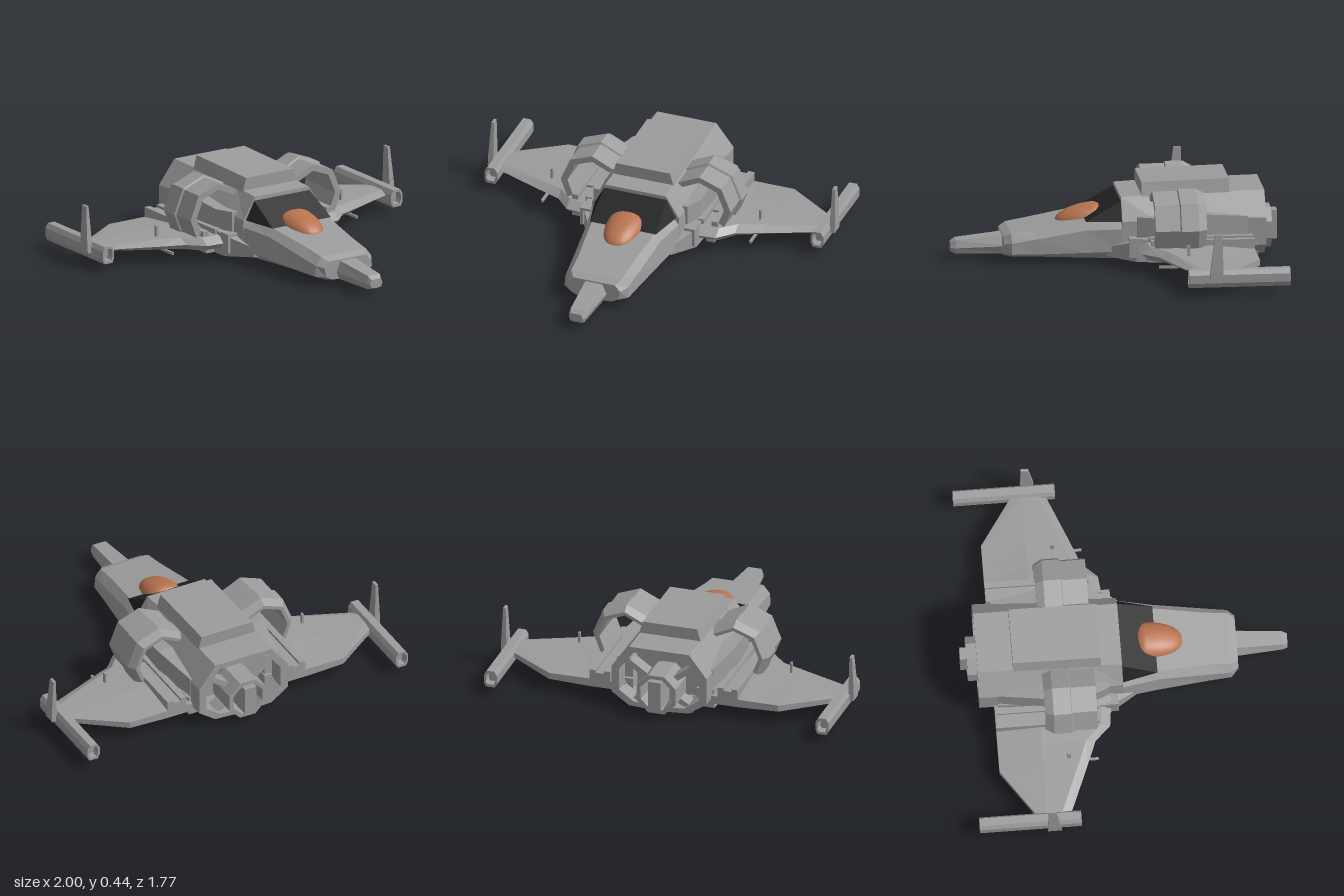
import * as THREE from 'three';

const grey = new THREE.MeshStandardMaterial({ color: 0x9c9c9c, flatShading: true, side: THREE.DoubleSide });
grey.name = 'hull grey';
const black = new THREE.MeshStandardMaterial({ color: 0x222222, flatShading: true, side: THREE.DoubleSide });
black.name = 'window black';
const orange = new THREE.MeshStandardMaterial({ color: 0xb8734f });
orange.name = 'canopy orange';

// Closed solid through rings of [x, y, z] points; faces are turned outward by signed volume.
function loft(rings, sx = 1) {
  const R = rings.map(r => r.map(p => new THREE.Vector3(p[0] * sx, p[1], p[2])));
  const tris = [], n = R[0].length;
  for (let k = 0; k < R.length - 1; k++)
    for (let i = 0; i < n; i++) {
      const j = (i + 1) % n, a = R[k], b = R[k + 1];
      tris.push([a[i], b[i], a[j]], [a[j], b[i], b[j]]);
    }
  [[R[0], false], [R[R.length - 1], true]].forEach(([r, back]) => {
    const c = r.reduce((s, p) => s.add(p), new THREE.Vector3()).divideScalar(n);
    for (let i = 0; i < n; i++) {
      const p = r[i], q = r[(i + 1) % n];
      tris.push(back ? [c, q, p] : [c, p, q]);
    }
  });
  const volume = tris.reduce((s, [a, b, c]) => s + a.dot(b.clone().cross(c)), 0);
  const flat = [];
  tris.forEach(([a, b, c]) => (volume < 0 ? [a, c, b] : [a, b, c]).forEach(p => flat.push(p.x, p.y, p.z)));
  const g = new THREE.BufferGeometry();
  g.setAttribute('position', new THREE.Float32BufferAttribute(flat, 3));
  g.computeVertexNormals();
  return g;
}

// Right half of a cross-section, bottom to top, mirrored into a full ring.
function section(z, ...half) {
  const left = half.filter(p => p[0] > 0).reverse().map(([x, y]) => [-x, y]);
  return [...half, ...left].map(([x, y]) => [x, y, z]);
}

function inset(ring, s, cx, cy, z) {
  return ring.map(p => [cx + (p[0] - cx) * s, cy + (p[1] - cy) * s, z]);
}

// Rectangle at depth z
const rect = (x0, x1, y0, y1, z) => [[x0, y0, z], [x1, y0, z], [x1, y1, z], [x0, y1, z]];

export function createModel() {
  const model = new THREE.Group();
  const add = (name, geo, mat = grey) => {
    const m = new THREE.Mesh(geo, mat);
    m.name = name;
    model.add(m);
    return m;
  };
  const pair = (name, rings) => {
    add(name + 'Left', loft(rings));
    add(name + 'Right', loft(rings, -1));
  };
  const bar = (name, x0, x1, y0, y1, z0, z1) => pair(name, [rect(x0, x1, y0, y1, z0), rect(x0, x1, y0, y1, z1)]);

  // Fuselage with a recessed engine bay at the back
  const tail = section(-0.8, [0, 0.02], [0.17, 0.03], [0.27, 0.1], [0.27, 0.25], [0.17, 0.38]);
  add('fuselage', loft([
    section(0.61, [0, 0.035], [0.1, 0.04], [0.14, 0.06], [0.15, 0.11], [0.12, 0.145]),
    section(0.57, [0, 0.03], [0.12, 0.035], [0.185, 0.06], [0.18, 0.12], [0.145, 0.165]),
    section(0.45, [0, 0.022], [0.13, 0.033], [0.195, 0.06], [0.19, 0.14], [0.15, 0.185]),
    section(0.17, [0, 0.002], [0.16, 0.027], [0.23, 0.07], [0.215, 0.19], [0.18, 0.23]),
    section(-0.02, [0, 0], [0.19, 0.025], [0.26, 0.08], [0.25, 0.2], [0.21, 0.24]),
    section(-0.021, [0, 0], [0.19, 0.025], [0.26, 0.08], [0.25, 0.24], [0.175, 0.36]),
    section(-0.2, [0, 0], [0.2, 0.025], [0.27, 0.08], [0.26, 0.25], [0.17, 0.37]),
    tail,
    inset(tail, 0.84, 0, 0.19, -0.8),
    inset(tail, 0.84, 0, 0.19, -0.62),
  ]));

  // Nose probe
  add('nose', loft([
    section(0.885, [0, 0.045], [0.03, 0.048], [0.04, 0.07], [0.03, 0.095]),
    section(0.86, [0, 0.035], [0.04, 0.038], [0.05, 0.07], [0.038, 0.112]),
    section(0.58, [0, 0.03], [0.055, 0.035], [0.075, 0.08], [0.05, 0.14]),
  ]));

  // Raised roof
  add('roof', loft([
    section(-0.135, [0.185, 0.33], [0.155, 0.435]),
    section(-0.61, [0.185, 0.33], [0.155, 0.445]),
  ]));

  // Dark windshield wedge and the canopy in front of it
  const pane = s => [[s * 0.19, 0.232, 0.17], [s * 0.18, 0.34, -0.022], [s * 0.235, 0.238, -0.022]];
  add('windshield', loft([pane(1), pane(-1)]), black);
  const dome = new THREE.SphereGeometry(1, 28, 18), p = dome.attributes.position;
  for (let i = 0; i < p.count; i++) {
    const x = Math.sign(p.getX(i)) * Math.abs(p.getX(i)) ** 0.85;
    const z = 0.12 + p.getZ(i) * (p.getZ(i) < 0 ? 0.07 : 0.2);
    p.setXYZ(i, x * 0.106, 0.215 + 0.078 * p.getY(i) - (z - 0.12) * 0.1, z);
  }
  dome.computeVertexNormals();
  add('canopy', dome, orange);

  // Octagonal main nozzle with core and diagonal struts
  const pipe = [[0.1, 0], [0.12, 0.05], [0.12, 0.23], [0.095, 0.23], [0.085, 0.1], [0, 0.1]];
  const nozzle = new THREE.LatheGeometry(pipe.map(q => new THREE.Vector2(...q)), 8);
  nozzle.rotateY(Math.PI / 8).rotateX(-Math.PI / 2).translate(0, 0.14, -0.62);
  add('nozzle', nozzle);
  add('nozzleCore', new THREE.BoxGeometry(0.07, 0.16, 0.16).translate(0, 0.15, -0.805));
  for (const a of [0.6, 2.5, 3.7, 5.7]) {
    const strut = new THREE.BoxGeometry(0.12, 0.03, 0.08).translate(0.16, 0, 0).rotateZ(a);
    add('nozzleStrut', strut.translate(0, 0.15, -0.73));
  }

  // Wings, lofted from root to tip: front edge, ridge line, rear edge
  const rib = (x, front, back, top, bottom) => [
    [x, (top + bottom) / 2, front], [x, top, front - 0.05], [x, top, -0.48],
    [x, (top + bottom) / 2 + 0.01, back], [x, bottom, back], [x, bottom, front - 0.04]];
  pair('wing', [
    rib(0.22, -0.08, -0.72, 0.145, 0.07), rib(0.43, -0.105, -0.72, 0.14, 0.07),
    rib(0.51, -0.19, -0.72, 0.135, 0.073), rib(0.65, -0.245, -0.72, 0.13, 0.078),
    rib(0.92, -0.355, -0.535, 0.122, 0.088)]);

  // Lower side sponsons and upper side fairings
  pair('sponson', [
    rect(0.18, 0.235, 0.05, 0.1, 0.06), rect(0.18, 0.325, 0.035, 0.15, -0.09),
    rect(0.18, 0.33, 0.035, 0.17, -0.2), rect(0.18, 0.28, 0.035, 0.14, -0.7)]);
  pair('fairing', [
    rect(0.18, 0.27, 0.16, 0.27, -0.1), rect(0.18, 0.31, 0.16, 0.27, -0.2),
    rect(0.18, 0.32, 0.15, 0.29, -0.42), rect(0.18, 0.27, 0.15, 0.26, -0.7)]);

  // Arched engine cowls, swept along a half octagon
  const arch = [[0.18, 0.37], [0.31, 0.432], [0.445, 0.38], [0.502, 0.24], [0.46, 0.13]];
  const hub = [0.3, 0.25];
  pair('engineCowl', arch.map(([x, y]) => {
    const at = (s, z) => [hub[0] + (x - hub[0]) * s, hub[1] + (y - hub[1]) * s, z];
    return [at(0.94, -0.175), at(0.94, -0.31), at(1, -0.315), at(1, -0.41), at(0.86, -0.455), at(0.75, -0.455), at(0.75, -0.175)];
  }));

  // Exhaust pipes on the wing, small guard rails ahead of it
  bar('exhaustOuter', 0.385, 0.42, 0.1, 0.17, -0.16, -0.72);
  bar('exhaustInner', 0.305, 0.34, 0.1, 0.17, -0.16, -0.72);
  bar('exhaustDeck', 0.34, 0.385, 0.1, 0.155, -0.3, -0.72);
  bar('guardRail', 0.27, 0.33, 0.15, 0.165, -0.05, -0.09);
  bar('guardPost', 0.315, 0.33, 0.06, 0.165, -0.05, -0.12);
  bar('underPod', 0.36, 0.41, 0.052, 0.08, -0.14, -0.3);

  // Wingtip pods with hollow ends, and their tapered fins
  const podRing = z => [[0.915, 0.045], [0.965, 0.045], [0.977, 0.07], [0.977, 0.115], [0.962, 0.14],
    [0.918, 0.14], [0.903, 0.115], [0.903, 0.07]].map(([x, y]) => [x, y, z]);
  pair('tipPod', [
    inset(podRing(0), 0.6, 0.94, 0.095, -0.34), inset(podRing(0), 0.7, 0.94, 0.095, -0.3),
    podRing(-0.3), podRing(-0.85),
    inset(podRing(0), 0.7, 0.94, 0.095, -0.85), inset(podRing(0), 0.6, 0.94, 0.095, -0.81)]);
  const finRing = (x0, x1, y, z0, z1) => [[x0, y, z0], [x1, y, z0], [x1, y, z1], [x0, y, z1]];
  pair('tipFin', [
    finRing(0.965, 1, 0.085, -0.41, -0.485), finRing(0.97, 1, 0.14, -0.415, -0.482),
    finRing(0.975, 0.99, 0.34, -0.44, -0.48)]);

  // Wing guns and antennas
  bar('wingGun', 0.594, 0.606, 0.066, 0.08, -0.18, -0.4);
  bar('antenna', 0.595, 0.607, 0.11, 0.19, -0.33, -0.35);

  return model;
}
